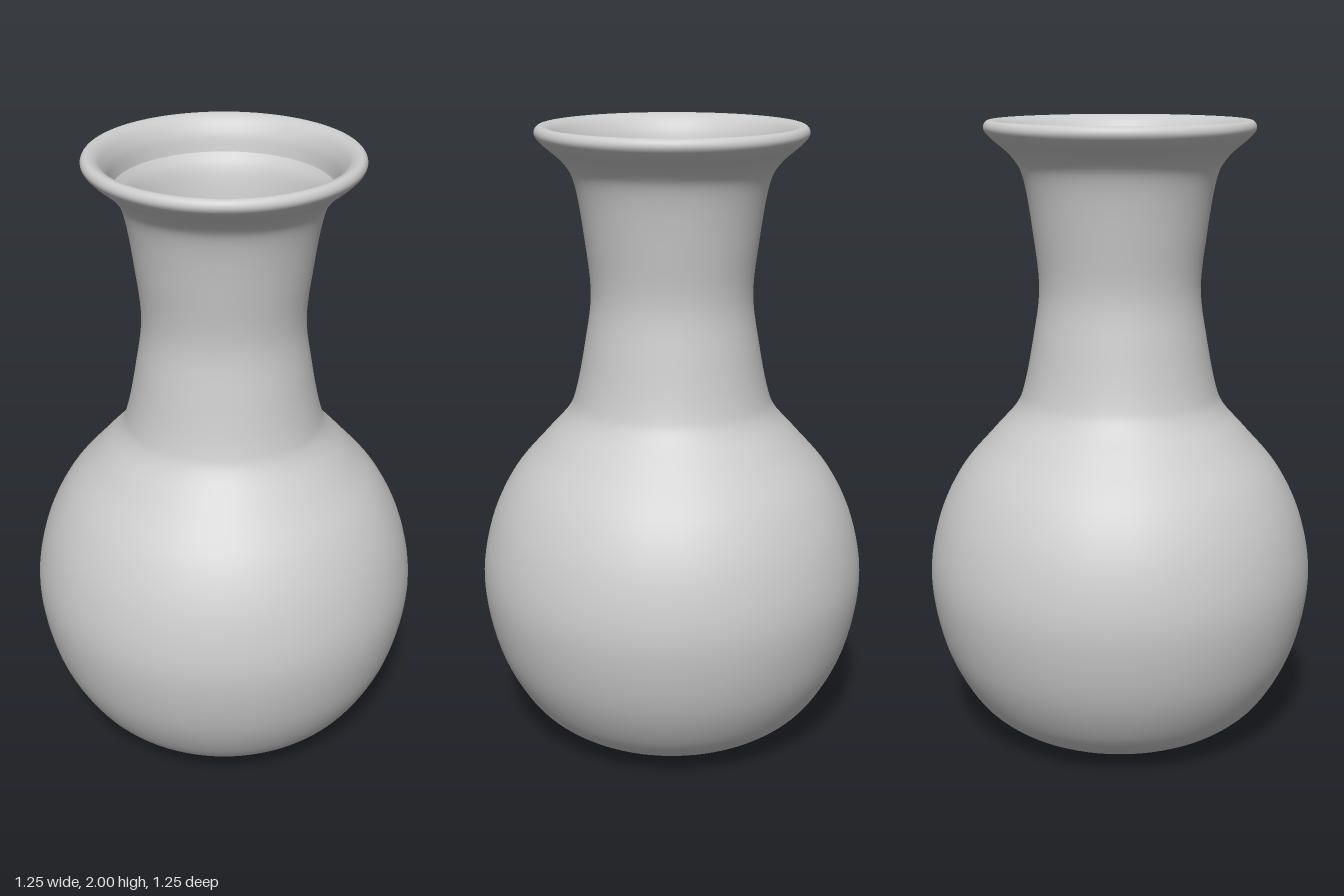
import * as THREE from 'three';

// Smooth surface of revolution through a few [radius, height] points
function turned(name, points, steps) {
  const curve = new THREE.SplineCurve(points.map(([r, y]) => new THREE.Vector2(r, y)));
  const profile = curve.getPoints(steps).map((p) => new THREE.Vector2(Math.max(p.x, 0), Math.max(p.y, 0)));
  const material = new THREE.MeshStandardMaterial({ color: 0xcccccc, side: THREE.DoubleSide });
  const mesh = new THREE.Mesh(new THREE.LatheGeometry(profile, 128), material);
  mesh.name = name;
  return mesh;
}

export function createModel() {
  const vase = new THREE.Group();
  vase.name = 'vase';

  // Flat foot, round belly, waisted neck and flared lip that rolls back inside
  vase.add(turned('vaseBody', [
    // foot
    [0, 0], [0.1, 0], [0.2, 0.002], [0.308, 0.016],
    // belly
    [0.414, 0.064], [0.504, 0.154], [0.585, 0.318], [0.623, 0.53],
    [0.594, 0.72], [0.52, 0.88], [0.413, 1.008],
    // neck
    [0.338, 1.093], [0.308, 1.165], [0.278, 1.315], [0.257, 1.475],
    [0.274, 1.65], [0.302, 1.82], [0.337, 1.888],
    // rolled lip
    [0.4, 1.945], [0.422, 1.972], [0.418, 1.993], [0.4, 2],
    [0.372, 1.985], [0.347, 1.945], [0.334, 1.893],
  ], 144));

  return vase;
}
